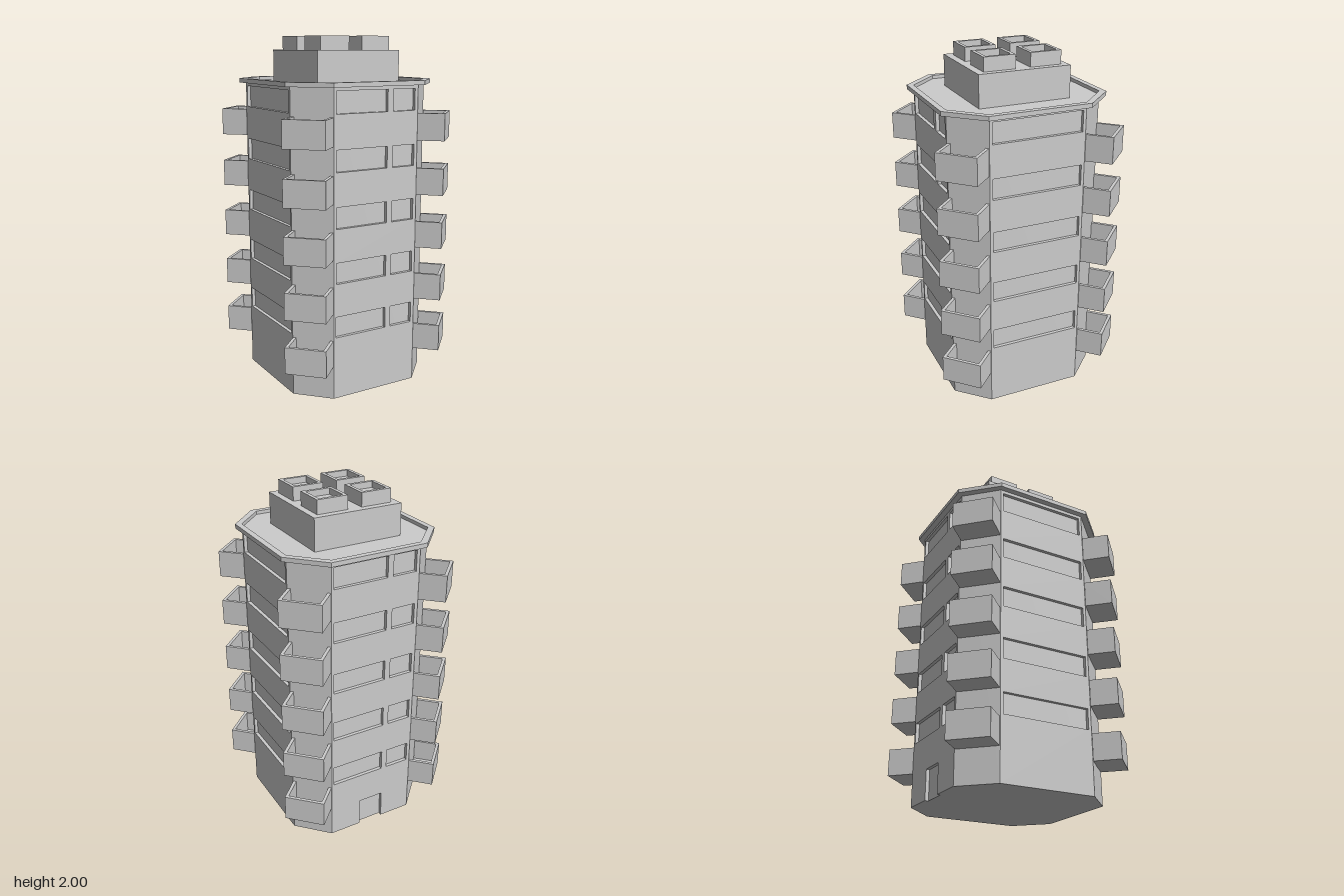
import * as THREE from 'three';

const material = new THREE.MeshStandardMaterial({ color: 0xcccccc });
const FLOORS = 5, PITCH = 0.309;
const HX = 0.437, HZ = 0.452;   // half extents of the tower
const CX = 0.27, CZ = 0.28;     // where the corner chamfers begin
const RECESS = 0.02;            // depth of windows and door

const toPoints = (list) => list.map(([x, y]) => new THREE.Vector2(x, y));

const rect = (x0, y0, x1, y1) => [[x0, y0], [x1, y0], [x1, y1], [x0, y1]];

const octagon = (hx, hz, cx, cz) => [
  [hx, -cz], [hx, cz], [cx, hz], [-cx, hz], [-hx, cz], [-hx, -cz], [-cx, -hz], [cx, -hz],
];

function extrude(outline, holes, depth) {
  const shape = new THREE.Shape(toPoints(outline));
  holes.forEach((h) => shape.holes.push(new THREE.Path(toPoints(h))));
  return new THREE.ExtrudeGeometry(shape, { depth, bevelEnabled: false });
}

function add(parent, name, geometry) {
  const mesh = new THREE.Mesh(geometry, material);
  mesh.name = name;
  parent.add(mesh);
  return mesh;
}

// Horizontal layer: plan outline (x, -z) raised from y0 to y1
function layer(parent, name, outline, holes, y0, y1) {
  const geometry = extrude(outline, holes, y1 - y0);
  geometry.rotateX(-Math.PI / 2).translate(0, y0, 0);
  return add(parent, name, geometry);
}

// Upright wall with window openings; columns are [left, right] pairs
function wall(parent, name, half, distance, angle, columns, hasDoor) {
  const outline = hasDoor
    ? [[-half, 0], [-0.077, 0], [-0.077, 0.17], [0.077, 0.17], [0.077, 0], [half, 0], [half, 1.735], [-half, 1.735]]
    : rect(-half, 0, half, 1.735);
  const holes = [];
  for (let i = 0; i < FLOORS; i++) {
    const y = 0.36 + i * PITCH;
    columns.forEach(([a, b]) => holes.push(rect(a, y, b, y + 0.12)));
  }
  const geometry = extrude(outline, holes, RECESS);
  geometry.translate(0, 0, distance - RECESS).rotateY(angle);
  add(parent, name, geometry);
}

function balcony(parent, sx, sz, y) {
  const group = new THREE.Group();
  group.name = 'balcony';
  const w = 0.117, d = 0.154, t = 0.018;
  // Parapet is U-shaped in plan, open towards the tower
  const parapet = [[-w, 0], [-w, -d], [w, -d], [w, 0], [w - t, 0], [w - t, t - d], [t - w, t - d], [t - w, 0]];
  layer(group, 'balconyParapet', parapet, [], 0, 0.153);
  layer(group, 'balconyFloor', rect(t - w, -d + t, w - t, 0), [], 0, 0.02);
  group.position.set(sx * (HX + CX) / 2, y, sz * (HZ + CZ) / 2);
  group.rotation.y = Math.atan2(sx, sz);
  parent.add(group);
}

export function createModel() {
  const model = new THREE.Group();
  model.name = 'apartmentTower';

  // Core: solid chamfered corners with the four flat sides set back
  const corner = [[HX - RECESS, CZ], [HX, CZ], [CX, HZ], [CX, HZ - RECESS]];
  const mirrorX = (p) => p.map(([x, z]) => [-x, z]).reverse();
  const halfPlan = [...corner, ...mirrorX(corner)];
  const plan = [...halfPlan, ...halfPlan.map(([x, z]) => [-x, -z])];
  layer(model, 'towerCore', plan, [], 0, 1.735);

  // Outer walls: split windows front and back, full-width ones on the sides
  const split = [[-0.255, 0.07], [0.105, 0.25]];
  const full = [[-0.263, 0.263]];
  wall(model, 'frontWall', CX, HZ, 0, split, false);
  wall(model, 'backWall', CX, HZ, Math.PI, split, true);
  wall(model, 'leftWall', CZ, HX, Math.PI / 2, full, false);
  wall(model, 'rightWall', CZ, HX, -Math.PI / 2, full, false);

  // Corner balconies
  for (let i = 0; i < FLOORS; i++) {
    for (const sx of [-1, 1]) for (const sz of [-1, 1]) balcony(model, sx, sz, 0.19 + i * PITCH);
  }

  // Roof: overhanging rim around a sunken deck
  const inner = octagon(HX, HZ, CX, CZ);
  layer(model, 'roofRim', octagon(0.471, 0.486, 0.29, 0.295), [inner], 1.735, 1.76);
  layer(model, 'roofDeck', inner, [], 1.73, 1.74);

  // Rooftop block and its four open shafts
  layer(model, 'penthouse', rect(-0.262, -0.267, 0.267, 0.269), [], 1.74, 1.922);
  for (const x of [-0.128, 0.138]) {
    for (const y of [-0.132, 0.138]) {
      const box = (h) => rect(x - h, y - h, x + h, y + h);
      layer(model, 'shaftWalls', box(0.091), [box(0.071)], 1.922, 2);
      layer(model, 'shaftFloor', box(0.071), [], 1.922, 1.965);
    }
  }
  return model;
}
